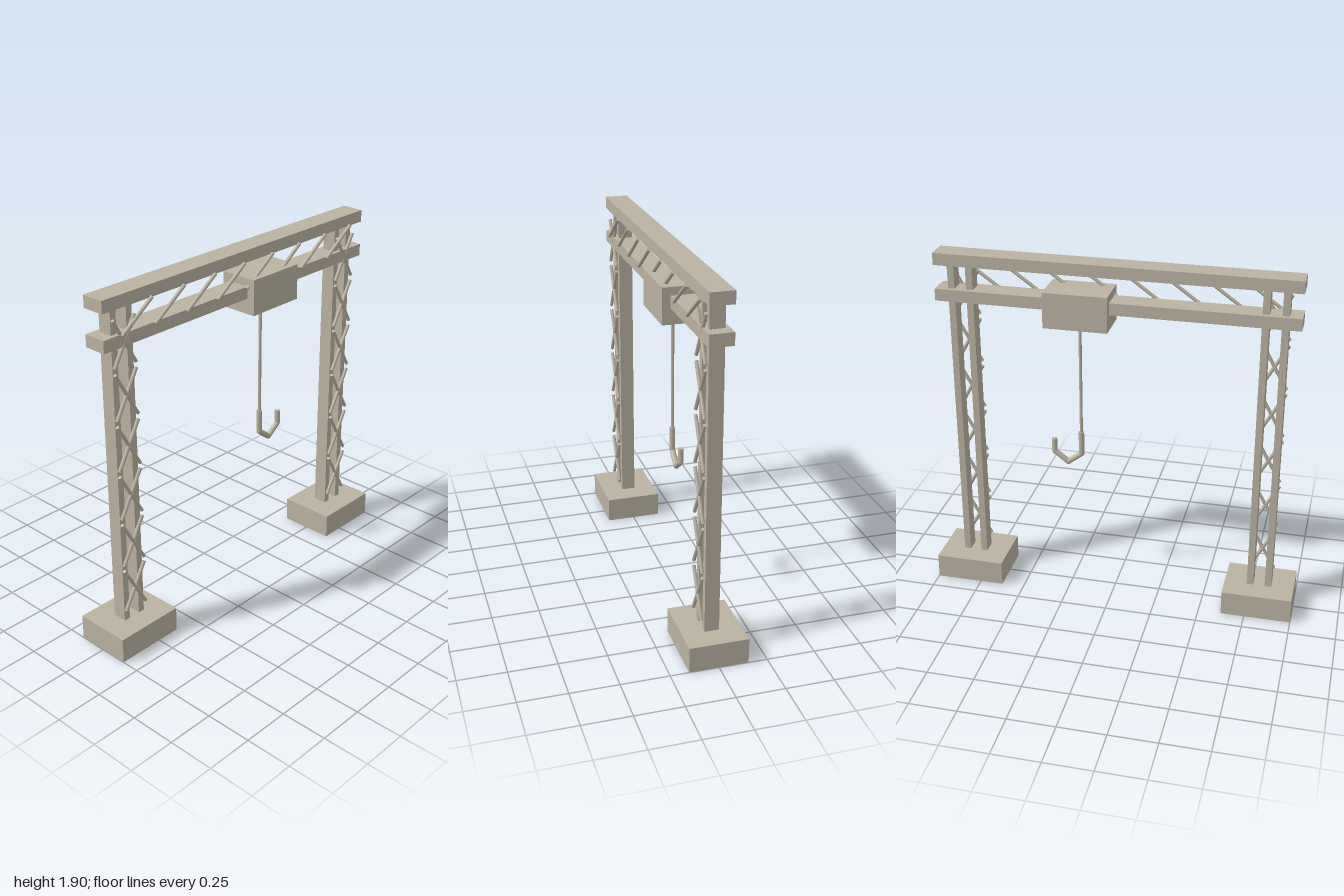
import * as THREE from 'three';

export function createModel() {
  const crane = new THREE.Group();
  crane.name = 'gantryCrane';
  const steel = new THREE.MeshStandardMaterial({ color: 0xbab2a2 });
  steel.name = 'paleSteel';

  function add(name, geometry, parent = crane) {
    const mesh = new THREE.Mesh(geometry, steel);
    mesh.name = name;
    parent.add(mesh);
    return mesh;
  }
  function box(name, w, h, d, x, y, z, parent) {
    add(name, new THREE.BoxGeometry(w, h, d), parent).position.set(x, y, z);
  }
  // Round bar between two points
  function rod(name, a, b, r, parent) {
    const from = new THREE.Vector3(...a), to = new THREE.Vector3(...b);
    const dir = to.clone().sub(from);
    const mesh = add(name, new THREE.CylinderGeometry(r, r, dir.length(), 8), parent);
    mesh.position.copy(from).add(to).multiplyScalar(0.5);
    mesh.quaternion.setFromUnitVectors(new THREE.Vector3(0, 1, 0), dir.normalize());
  }

  // Towers: footing, twin posts and crossed braces on the front
  for (const side of [-1, 1]) {
    const tower = new THREE.Group();
    tower.name = side < 0 ? 'rightTower' : 'leftTower';
    tower.position.x = side * 0.811;
    crane.add(tower);
    box('footing', 0.376, 0.135, 0.306, 0, 0.0675, 0, tower);
    for (const s of [-1, 1]) {
      box('post', 0.035, 1.705, 0.076, s * 0.049, 0.9875, 0, tower);
    }
    for (let i = 0; i < 6; i++) {
      const y = 0.322 + i * 0.2685;
      for (const s of [-1, 1]) {
        rod('crossBrace', [-s * 0.067, y - 0.12, 0.054], [s * 0.067, y + 0.12, 0.054], 0.0095, tower);
      }
    }
  }

  // Twin girders with slanted lacing bars
  box('upperGirder', 1.886, 0.064, 0.122, 0, 1.868, 0);
  box('lowerGirder', 1.886, 0.064, 0.122, 0, 1.676, 0);
  for (let i = 0; i < 8; i++) {
    const x = (i - 3.5) * 0.211;
    rod('lacingBar', [x - 0.098, 1.7, 0.067], [x + 0.098, 1.84, 0.067], 0.0095);
  }

  // Trolley, cable and hook
  box('trolley', 0.337, 0.19, 0.21, 0.188, 1.656, 0);
  rod('cable', [0.188, 0.93, 0], [0.188, 1.57, 0], 0.0085);
  const hook = new THREE.Group();
  hook.name = 'hook';
  crane.add(hook);
  const path = [[0.188, 0.94, 0], [0.188, 0.81, 0], [0.263, 0.753, 0], [0.338, 0.81, 0], [0.338, 0.885, 0]];
  for (let i = 0; i < path.length - 1; i++) {
    rod('hookBar', path[i], path[i + 1], 0.0155, hook);
    if (i > 0) add('hookJoint', new THREE.SphereGeometry(0.0155, 8, 6), hook).position.set(...path[i]);
  }

  return crane;
}
